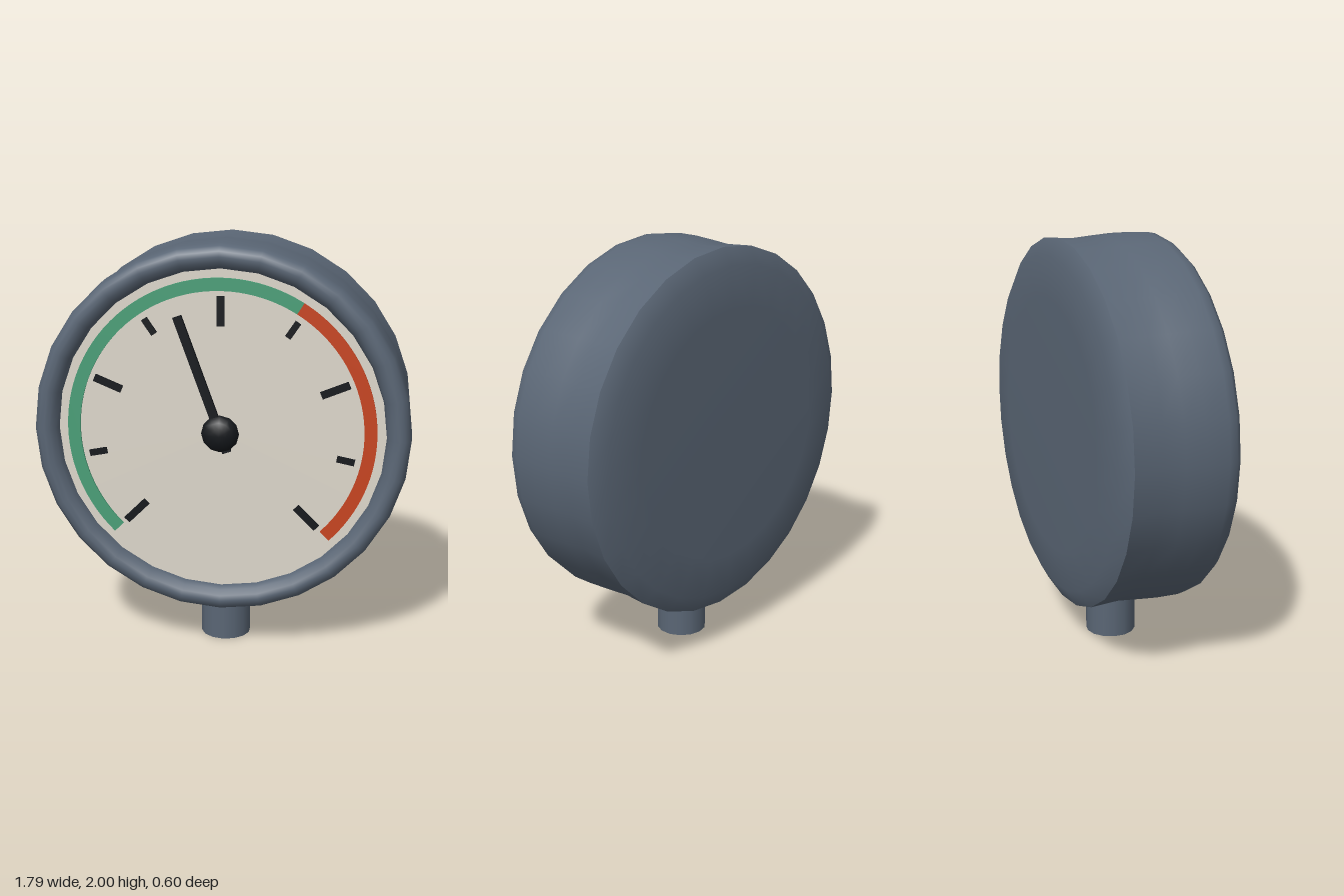
import * as THREE from 'three';

const CY = 1.105;       // height of the dial centre
const FACE_Z = 0.215;   // plane of the dial
const SIDES = 28;

const paint = (color) => new THREE.MeshStandardMaterial({ color });
const rad = THREE.MathUtils.degToRad;

export function createModel() {
  const model = new THREE.Group();
  model.name = 'pressureGauge';
  const steel = paint(0x5a6675), cream = paint(0xded8cc), black = paint(0x14171b);
  const green = paint(0x4a9f78), red = paint(0xc8441f);

  // everything on the round head is placed relative to the dial centre
  const head = new THREE.Group();
  head.name = 'head';
  head.position.y = CY;
  model.add(head);

  const add = (parent, name, geometry, material) => {
    const mesh = new THREE.Mesh(geometry, material);
    mesh.name = name;
    parent.add(mesh);
    return mesh;
  };

  // profiles are [radius, z], running from back to front
  const turned = (profile) => new THREE.LatheGeometry(
    profile.map(([r, z]) => new THREE.Vector2(r, z)), SIDES).rotateX(Math.PI / 2);

  // casing: shallow domed back, slightly waisted wall, rolled bezel
  add(head, 'caseBack', turned([[0, -0.3], [0.61, -0.3], [0.81, -0.285], [0.89, -0.24]]), steel);
  add(head, 'caseWallAndBezel', turned([
    [0.89, -0.24], [0.88, -0.1], [0.888, 0], [0.895, 0.1], [0.895, 0.21],
    [0.887, 0.25], [0.865, 0.275], [0.84, 0.28], [0.815, 0.275],
    [0.79, 0.255], [0.779, 0.225], [0.779, 0.2],
  ]), steel);

  // dial face
  add(head, 'dialFace', new THREE.CircleGeometry(0.79, SIDES), cream).position.z = FACE_Z;

  // coloured scale bands, angles measured anticlockwise from +x
  const band = (name, from, to, material) => {
    const shape = new THREE.Shape();
    shape.absarc(0, 0, 0.735, rad(from), rad(to), false);
    shape.absarc(0, 0, 0.675, rad(to), rad(from), true);
    const geometry = new THREE.ExtrudeGeometry(shape, { depth: 0.01, bevelEnabled: false, curveSegments: 24 });
    add(head, name, geometry, material).position.z = FACE_Z;
  };
  band('safeBand', 58.5, 225, green);
  band('dangerBand', -45, 58.5, red);

  // long and short ticks alternate around the scale
  const ticks = new THREE.Group();
  ticks.name = 'ticks';
  head.add(ticks);
  for (let i = 0; i <= 8; i++) {
    const long = i % 2 === 0;
    const length = long ? 0.14 : 0.085;
    const geometry = new THREE.BoxGeometry(long ? 0.035 : 0.03, length, 0.012);
    geometry.translate(0, (long ? 0.65 : 0.645) - length / 2, FACE_Z + 0.006);
    add(ticks, 'tick', geometry, black).rotation.z = rad(135 - i * 33.75);
  }

  // needle with a short tail, and its domed hub
  const needle = new THREE.BoxGeometry(0.042, 0.685, 0.02).translate(0, 0.2475, 0.245);
  add(head, 'needle', needle, black).rotation.z = rad(19.8);
  const hub = add(head, 'hub', new THREE.SphereGeometry(0.09, 12, 8).rotateX(Math.PI / 2), black);
  hub.scale.z = 0.6;
  hub.position.z = 0.246;

  // connecting stem
  const stem = add(model, 'stem', new THREE.CylinderGeometry(0.123, 0.123, 0.4, 14), steel);
  stem.position.set(0, 0.2, 0.02);

  return model;
}
